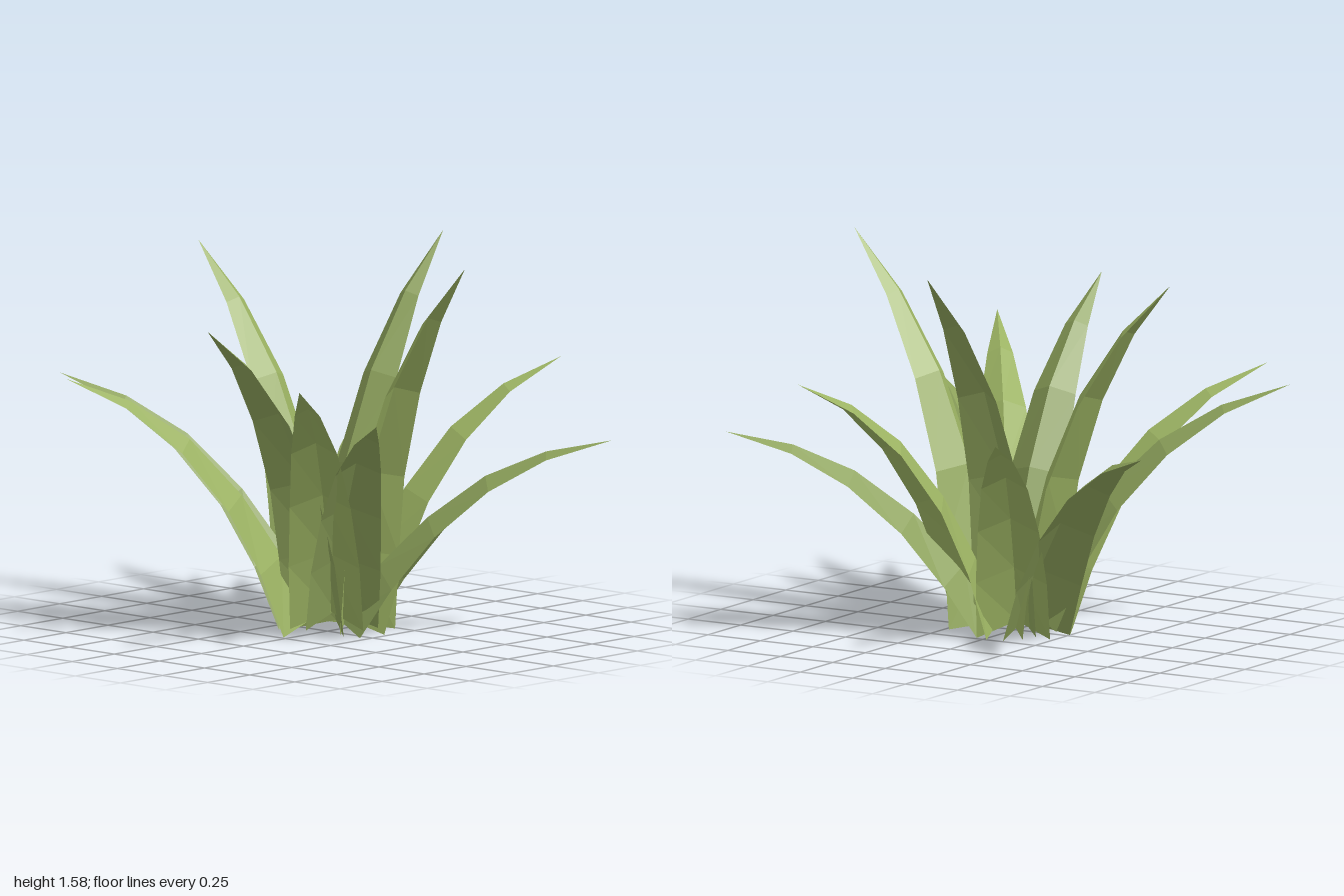
import * as THREE from 'three';

// Each leaf: tip x, y, z, then where its midrib starts, x, y and z
const LEAVES = [
  [-1.0, 0.91, -0.64, -0.06, 0, -0.04],
  [-0.37, 0.92, -0.75, -0.04, 0, -0.05],
  [-0.02, 1.57, -0.71, -0.05, 0, -0.01],
  [0.53, 1.1, -0.82, 0.03, 0, -0.06],
  [0.99, 0.83, -0.63, 0.03, 0, -0.02],
  [0.78, 1.59, 0.02, 0.05, 0, -0.05],
  [0.68, 0.98, 0.44, 0.04, 0.04, 0.0],
  [0.57, 1.15, 0.78, 0.05, 0.04, 0.03],
  [0.09, 1.35, 0.81, 0.03, 0, -0.02],
  [-0.72, 1.06, 0.78, -0.04, 0, 0.04],
  [-0.97, 1.03, 0.55, -0.04, 0.04, 0.01],
  [-0.79, 1.52, -0.08, -0.04, 0, -0.08],
];

// Midrib curves as fractions of reach and height, for upright and arching leaves
const UPRIGHT = { reach: [0, 0.08, 0.2, 0.41, 0.69, 1], rise: [0.03, 0.22, 0.43, 0.66, 0.855, 1] };
const ARCHING = { reach: [0.01, 0.15, 0.33, 0.54, 0.76, 1], rise: [0.07, 0.34, 0.59, 0.805, 0.935, 1] };
const HALF_WIDTH = [0.15, 0.145, 0.125, 0.095, 0.052, 0];
const FOLD_DEPTH = [0.14, 0.11, 0.08, 0.058, 0.03, 0];

// A folded blade: the midrib is a raised ridge, both edges lie below and outside it
function leafGeometry([tx, ty, tz, bx, by, bz]) {
  const reach = Math.hypot(tx - bx, tz - bz);
  const dx = (tx - bx) / reach, dz = (tz - bz) / reach;
  const arch = THREE.MathUtils.clamp((1.59 - ty) / 0.76, 0, 1);
  const rib = HALF_WIDTH.map((_, i) => new THREE.Vector2(
    reach * THREE.MathUtils.lerp(UPRIGHT.reach[i], ARCHING.reach[i], arch),
    by + (ty - by) * THREE.MathUtils.lerp(UPRIGHT.rise[i], ARCHING.rise[i], arch)));

  const positions = [], indices = [];
  rib.forEach((point, i) => {
    const along = rib[Math.min(i + 1, 5)].clone().sub(rib[Math.max(i - 1, 0)]).normalize();
    for (const side of [-1, 0, 1]) {
      const drop = side ? FOLD_DEPTH[i] : 0;
      const r = point.x + along.y * drop;
      const y = Math.max(0.01, point.y - along.x * drop);
      const w = side * HALF_WIDTH[i];
      positions.push(bx + dx * r - dz * w, y, bz + dz * r + dx * w);
    }
    if (i === 5) return;
    for (const a of [i * 3, i * 3 + 1]) {
      indices.push(a, a + 1, a + 4);
      if (i < 4) indices.push(a, a + 4, a + 3); // the last row ends in a point
    }
  });

  const indexed = new THREE.BufferGeometry();
  indexed.setAttribute('position', new THREE.Float32BufferAttribute(positions, 3));
  indexed.setIndex(indices);
  const geometry = indexed.toNonIndexed();
  geometry.computeVertexNormals();
  return geometry;
}

function leafMaterial(name, color) {
  return new THREE.MeshStandardMaterial({ name, color, flatShading: true, side: THREE.DoubleSide });
}

export function createModel() {
  // Dull and bright leaves alternate around the plant
  const greens = [leafMaterial('dullGreen', 0x8da25b), leafMaterial('brightGreen', 0x9bb262)];
  const plant = new THREE.Group();
  plant.name = 'spikyPlant';
  LEAVES.forEach((leaf, i) => {
    const mesh = new THREE.Mesh(leafGeometry(leaf), greens[i % 2]);
    mesh.name = `leaf${i + 1}`;
    plant.add(mesh);
  });
  return plant;
}
